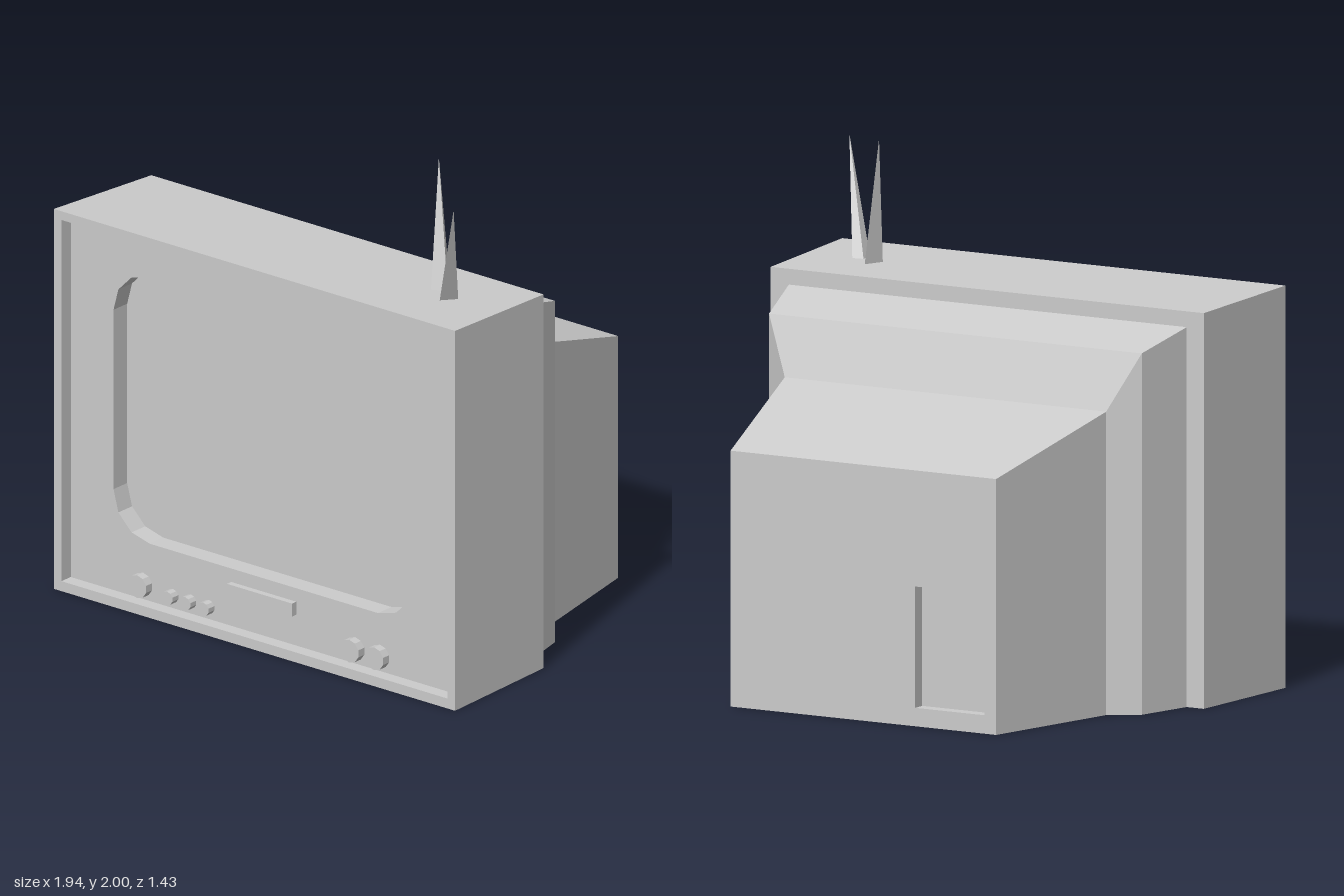
import * as THREE from 'three';
import { ConvexGeometry } from 'three/addons/geometries/ConvexGeometry.js';

const material = new THREE.MeshStandardMaterial({ color: 0xcccccc, flatShading: true });

function part(name, geometry, x = 0, y = 0, z = 0) {
  const mesh = new THREE.Mesh(geometry, material);
  mesh.name = name;
  mesh.position.set(x, y, z);
  return mesh;
}

// Joins rectangles [x0, x1, y0, y1, z] in order and caps the first one.
function loftRectangles(sections) {
  const rings = sections.map(([x0, x1, y0, y1, z]) =>
    [[x0, y0, z], [x1, y0, z], [x1, y1, z], [x0, y1, z]]);
  const positions = [];
  const quad = (a, b, c, d) => positions.push(...a, ...b, ...c, ...a, ...c, ...d);
  const same = (p, q) => p[1] === q[1] && p[2] === q[2];
  const [p, q, r, s] = rings[0];
  quad(p, s, r, q);
  for (let i = 0; i < rings.length - 1; i++) {
    for (let j = 0; j < 4; j++) {
      const k = (j + 1) % 4;
      const [a, b, c, d] = [rings[i][j], rings[i][k], rings[i + 1][k], rings[i + 1][j]];
      if (same(a, d) && same(b, c)) continue; // flush edge, no face needed
      quad(a, b, c, d);
    }
  }
  const geometry = new THREE.BufferGeometry();
  geometry.setAttribute('position', new THREE.Float32BufferAttribute(positions, 3));
  geometry.computeVertexNormals();
  return geometry;
}

// Rectangle outline with faceted round corners.
function roundedOutline(x, y0, y1, radius, steps) {
  const points = [];
  const centres = [[x - radius, y1 - radius], [radius - x, y1 - radius],
    [radius - x, y0 + radius], [x - radius, y0 + radius]];
  centres.forEach(([cx, cy], corner) => {
    for (let i = 0; i <= steps; i++) {
      const a = (corner + i / steps) * Math.PI / 2;
      points.push(new THREE.Vector2(cx + radius * Math.cos(a), cy + radius * Math.sin(a)));
    }
  });
  return points;
}

export function createModel() {
  const tv = new THREE.Group();
  tv.name = 'television';
  const panelZ = 0.66;
  const screenZ = 0.58;

  // Cabinet, from the back hatch recess forward to the front rim
  tv.add(part('cabinet', loftRectangles([
    [-0.535, -0.23, 0.07, 0.53, -0.665],
    [-0.535, -0.23, 0.07, 0.53, -0.715],
    [-0.585, 0.58, 0, 0.97, -0.715],
    [-0.71, 0.70, 0, 1.15, -0.135],
    [-0.82, 0.815, 0, 1.37, -0.06],
    [-0.875, 0.87, 0, 1.44, 0.17],
    [-0.95, 0.95, 0, 1.50, 0.17],
    [-0.972, 0.972, 0, 1.525, 0.715],
    [-0.935, 0.935, 0.04, 1.49, 0.715],
    [-0.935, 0.935, 0.04, 1.49, panelZ],
  ])));

  // Front panel with the screen opening
  const panel = new THREE.Shape([[-0.935, 0.04], [0.935, 0.04], [0.935, 1.49], [-0.935, 1.49]]
    .map(([x, y]) => new THREE.Vector2(x, y)));
  const opening = roundedOutline(0.728, 0.27, 1.34, 0.175, 3);
  panel.holes.push(new THREE.Path(opening));
  tv.add(part('frontPanel', new THREE.ExtrudeGeometry(panel,
    { depth: panelZ - screenZ, bevelEnabled: false }), 0, 0, screenZ));
  tv.add(part('screen', new THREE.ShapeGeometry(new THREE.Shape(opening)), 0, 0, screenZ));

  // Controls
  const knobs = [[-0.585, 0.1, 0.046], [-0.44, 0.09, 0.027], [-0.353, 0.09, 0.027],
    [-0.265, 0.09, 0.027], [0.443, 0.1, 0.046], [0.563, 0.1, 0.046]];
  for (const [x, y, radius] of knobs) {
    const knob = new THREE.CylinderGeometry(radius, radius, 0.04, 10).rotateX(Math.PI / 2);
    tv.add(part('knob', knob, x, y, panelZ + 0.015));
  }
  tv.add(part('controlPlate', new THREE.BoxGeometry(0.315, 0.052, 0.03), 0, 0.19, panelZ + 0.01));

  // Aerials: slim three-sided spikes, each a tip over a triangular foot
  const aerials = [
    { tip: [0.567, 2.0, 0.32], foot: [[0.655, 0.36], [0.672, 0.395], [0.615, 0.425]] },
    { tip: [0.87, 1.95, 0.6], foot: [[0.705, 0.435], [0.752, 0.43], [0.71, 0.49]] },
  ];
  for (const { tip, foot } of aerials) {
    const points = [new THREE.Vector3(...tip),
      ...foot.map(([x, z]) => new THREE.Vector3(x, 1.505, z))];
    tv.add(part('aerial', new ConvexGeometry(points)));
  }
  return tv;
}
